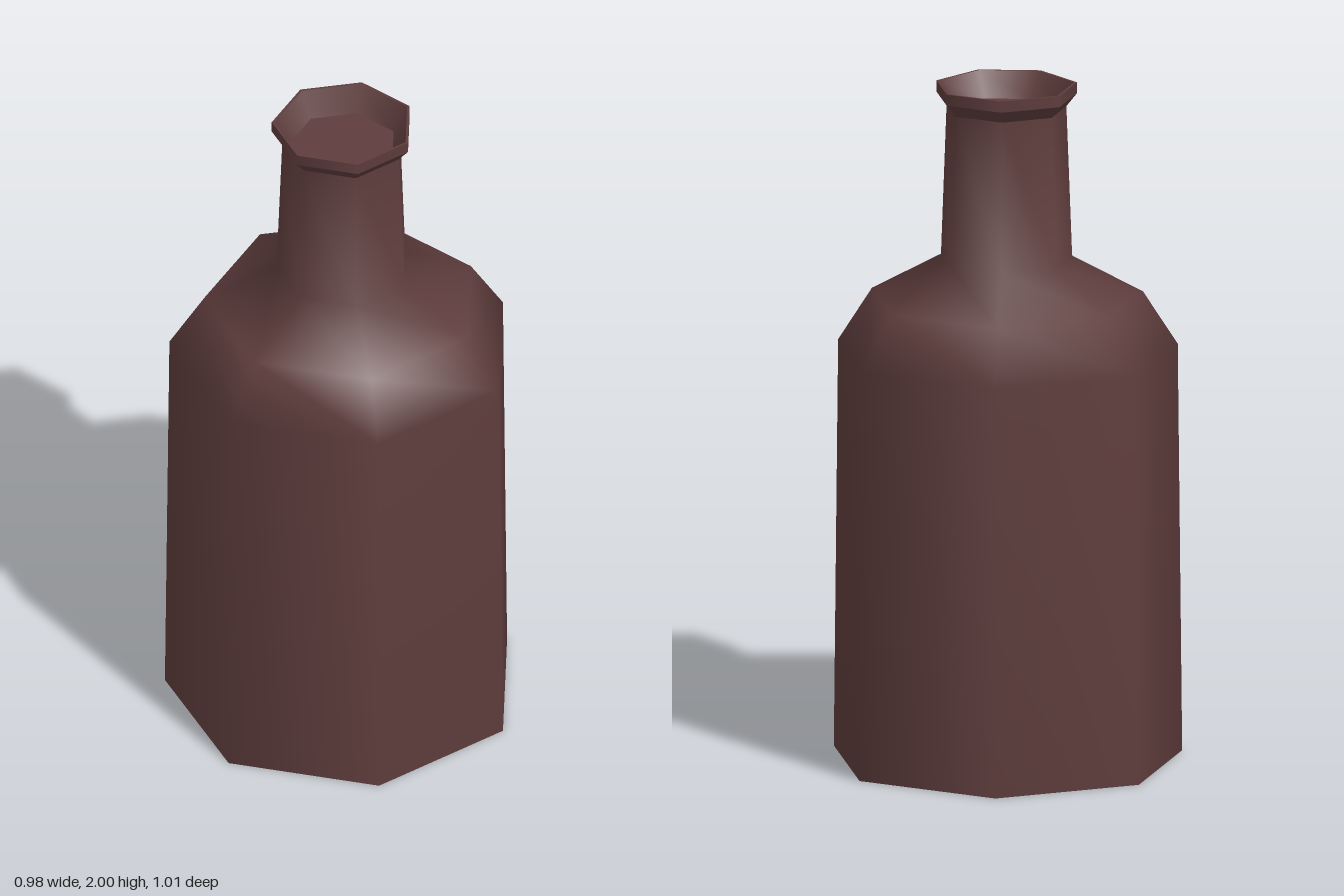
import * as THREE from 'three';

const SIDES = 7;

export function createModel() {
  const model = new THREE.Group();
  model.name = 'bottle';
  const glass = new THREE.MeshStandardMaterial({ color: 0x5e3c3c });
  glass.name = 'dark brown glass';

  // Seven-sided turned part with a corner pointing to -x; profile runs bottom to top on the outside
  const turned = (name, profile) => {
    const points = profile.map(([r, y]) => new THREE.Vector2(r, y));
    const mesh = new THREE.Mesh(new THREE.LatheGeometry(points, SIDES, -Math.PI / 2), glass);
    mesh.name = name;
    mesh.position.x = 0.024;
    model.add(mesh);
  };

  // Flat base
  turned('base', [[0, 0], [0.518, 0]]);

  // Tapered body, rounded shoulder and neck in one smooth skin
  turned('bodyAndNeck', [[0.518, 0], [0.505, 1.21], [0.403, 1.37], [0.195, 1.485], [0.178, 1.935]]);

  // Lip: flared underside, upright band, thin rim
  turned('lipUnderside', [[0.178, 1.93], [0.209, 1.967]]);
  turned('lipBand', [[0.209, 1.967], [0.209, 2]]);
  turned('rim', [[0.209, 2], [0.201, 2]]);

  // Funnel-shaped mouth and its flat floor
  turned('mouth', [[0.201, 2], [0.158, 1.925]]);
  turned('mouthFloor', [[0.158, 1.925], [0, 1.925]]);

  return model;
}
